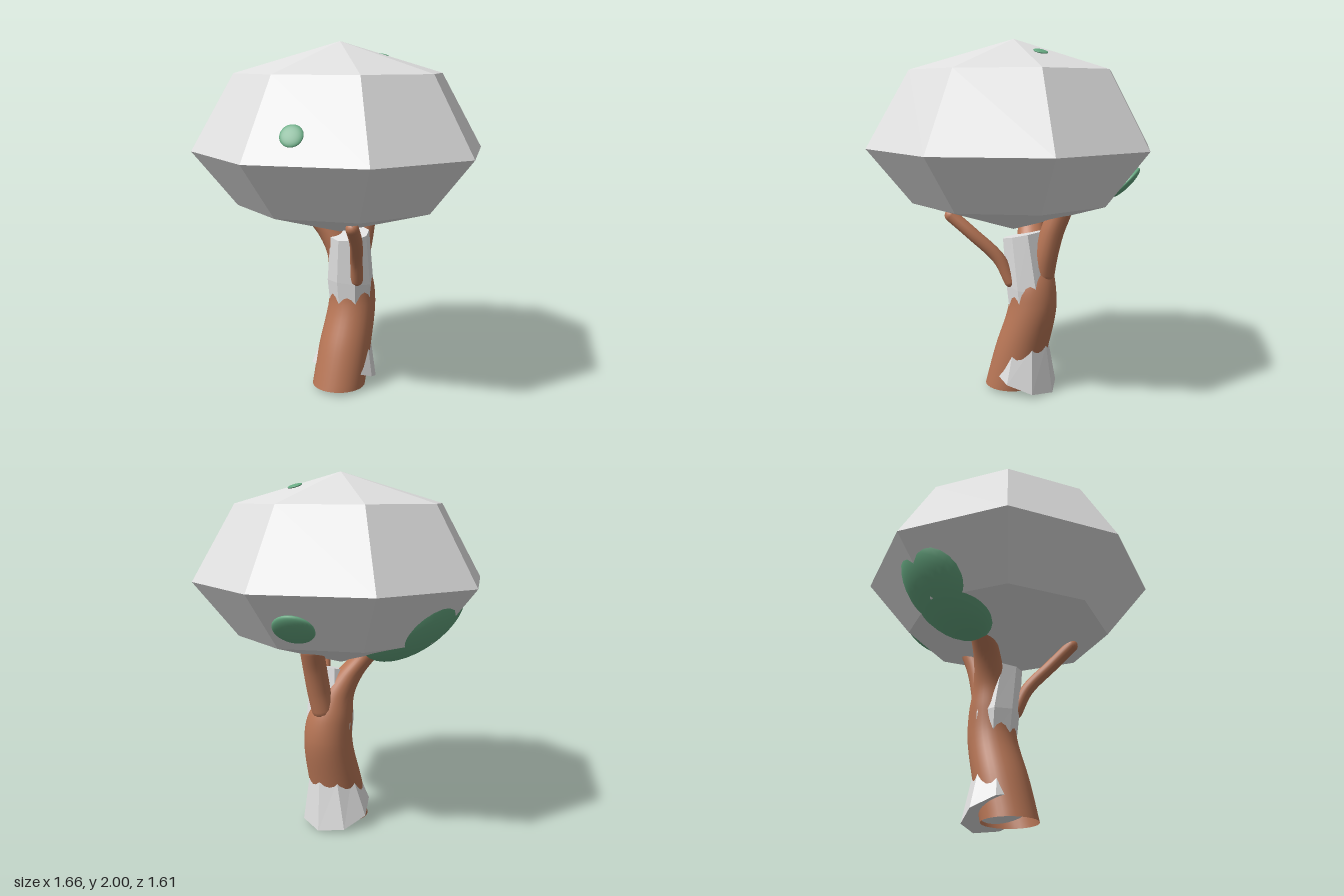
import * as THREE from 'three';

const foliage = new THREE.MeshStandardMaterial({ color: 0xe0e0e0 });
foliage.name = 'pale grey';
const bark = new THREE.MeshStandardMaterial({ color: 0xb87656, side: THREE.DoubleSide });
bark.name = 'bark brown';
const leaf = new THREE.MeshStandardMaterial({ color: 0x66a881 });
leaf.name = 'leaf green';

const V = (x, y, z) => new THREE.Vector3(x, y, z);

function add(group, name, geometry, material) {
  const mesh = new THREE.Mesh(geometry, material);
  mesh.name = name;
  group.add(mesh);
  return mesh;
}

function faceted(geometry) {
  const flat = geometry.index ? geometry.toNonIndexed() : geometry;
  flat.computeVertexNormals();
  return flat;
}

// Skin over rings [x, y, z, radius, slope]; slope tilts a ring along z
function loft(rings, sides, capped) {
  const pos = [], idx = [];
  for (const [x, y, z, r, slope = 0] of rings) {
    const c = 1 / Math.hypot(1, slope);
    for (let i = 0; i < sides; i++) {
      const a = (i / sides) * Math.PI * 2;
      const d = r * Math.cos(a) * c;
      pos.push(x + r * Math.sin(a), y + d * slope, z + d);
    }
  }
  for (let k = 0; k < rings.length - 1; k++) {
    for (let i = 0; i < sides; i++) {
      const j = (i + 1) % sides, lo = k * sides, hi = lo + sides;
      idx.push(lo + i, lo + j, hi + j, lo + i, hi + j, hi + i);
    }
  }
  if (capped) {
    const top = (rings.length - 1) * sides;
    for (let i = 1; i < sides - 1; i++) {
      idx.push(0, i + 1, i, top, top + i, top + i + 1);
    }
  }
  const g = new THREE.BufferGeometry();
  g.setAttribute('position', new THREE.Float32BufferAttribute(pos, 3));
  g.setIndex(idx);
  g.computeVertexNormals();
  return g;
}

// Bent limb with rounded ends
function limb(group, name, points, radius) {
  const branch = new THREE.Group();
  branch.name = name;
  const path = new THREE.CatmullRomCurve3(points);
  add(branch, name + 'Shaft', new THREE.TubeGeometry(path, 20, radius, 16), bark);
  for (const end of [points[0], points[points.length - 1]]) {
    add(branch, name + 'End', new THREE.SphereGeometry(radius, 16, 12), bark).position.copy(end);
  }
  group.add(branch);
}

// Flattened leaf clump; its thin axis points along normal
function clump(group, name, center, normal, long, wide, thick) {
  const m = add(group, name, new THREE.SphereGeometry(1, 32, 20), leaf);
  m.position.copy(center);
  m.scale.set(long, thick, wide);
  m.quaternion.setFromUnitVectors(V(0, 1, 0), normal.normalize());
}

export function createModel() {
  const tree = new THREE.Group();
  tree.name = 'tree';

  // Eight-sided faceted crown
  const profile = [[0, 0.94], [0.582, 1.11], [0.83, 1.413], [0.587, 1.83], [0, 2]];
  const crown = new THREE.LatheGeometry(profile.map(([r, y]) => new THREE.Vector2(r, y)), 8);
  crown.scale(1, 1, 0.972);
  add(tree, 'crown', faceted(crown), foliage);

  // Leaf clumps breaking through the crown
  clump(tree, 'largeClump', V(-0.46, 1.22, 0), V(-0.61, -0.79, 0), 0.33, 0.25, 0.16);
  clump(tree, 'backClump', V(-0.14, 1.23, -0.615), V(-0.27, -0.75, -0.72), 0.11, 0.11, 0.03);
  clump(tree, 'frontClump', V(0.195, 1.55, 0.655), V(0.33, 0.5, 0.8), 0.06, 0.06, 0.012);
  clump(tree, 'topClump', V(0.13, 1.922, -0.24), V(0.12, 0.95, -0.28), 0.04, 0.04, 0.008);

  // Leaning trunk that bends away into the right-hand limb
  const keys = [
    [0, 0.02, 0.01, 0.155], [0, 0.25, -0.055, 0.153], [0, 0.5, -0.125, 0.138],
    [-0.01, 0.65, -0.122, 0.128], [-0.04, 0.78, -0.1, 0.1], [-0.1, 0.9, -0.06, 0.08],
    [-0.19, 1.02, -0.01, 0.07], [-0.26, 1.1, 0, 0.06],
  ];
  const centres = new THREE.CatmullRomCurve3(keys.map(k => V(k[0], k[1], k[2])));
  const radii = new THREE.SplineCurve(keys.map((k, i) => new THREE.Vector2(i, k[3])));
  const rings = [];
  for (let i = 0; i <= 42; i++) {
    const p = centres.getPoint(i / 42);
    rings.push([p.x, p.y, p.z, radii.getPoint(i / 42).y]);
  }
  add(tree, 'trunk', loft(rings, 32, false), bark);

  // Side limbs
  limb(tree, 'frontLimb', [V(0.095, 0.66, -0.035), V(0.13, 0.79, 0.02),
    V(0.21, 0.93, 0.14), V(0.262, 1.035, 0.25)], 0.036);
  limb(tree, 'backLimb', [V(-0.01, 0.71, -0.19), V(0, 0.82, -0.215),
    V(0, 0.95, -0.25), V(-0.01, 1.06, -0.29)], 0.065);

  // Faceted sleeve round the upper trunk
  add(tree, 'upperSleeve', faceted(loft([
    [0, 0.46, -0.12, 0.128, 0.1], [0, 0.62, -0.108, 0.138, 0.15], [0.02, 0.918, -0.07, 0.115, -0.22],
  ], 8, true)), foliage);

  // Flared, tilted collar at the root
  add(tree, 'rootCollar', faceted(loft([
    [-0.015, 0.075, -0.065, 0.2, 0.4], [0, 0.31, -0.085, 0.135, 0.25],
  ], 8, true)), foliage);

  return tree;
}
